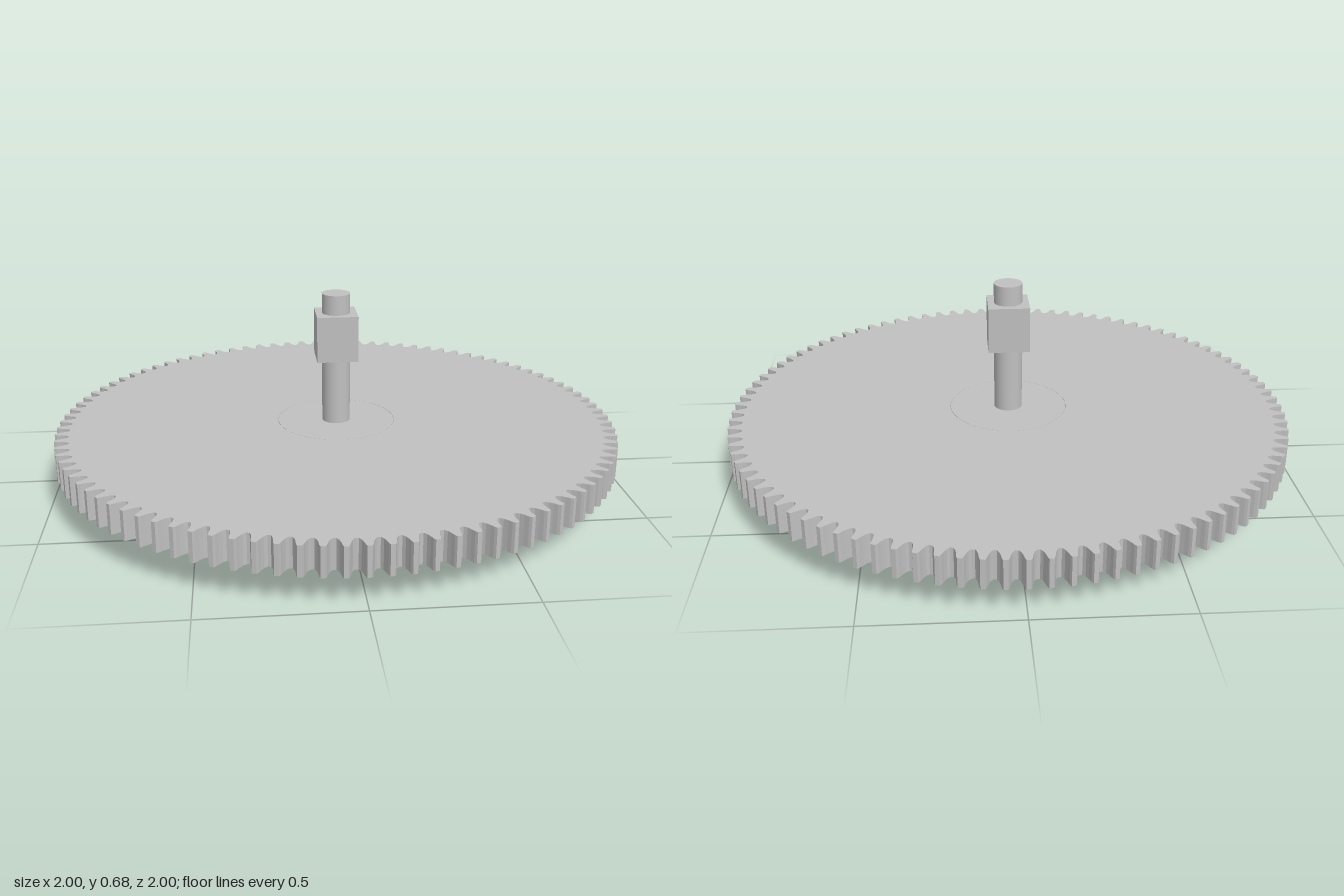
import * as THREE from 'three';

export function createModel() {
  const model = new THREE.Group();
  const grey = new THREE.MeshStandardMaterial({ color: 0xc0c0c0 });
  grey.name = 'plain grey';

  const add = (name, geometry, y = 0) => {
    const mesh = new THREE.Mesh(geometry, grey);
    mesh.name = name;
    mesh.position.y = y;
    model.add(mesh);
    return mesh;
  };

  // Gear wheel: one tooth profile (fraction of pitch, radius) repeated around the rim
  const teeth = 96;
  const pitch = (Math.PI * 2) / teeth;
  const tooth = [
    [-0.42, 0.95], [-0.3, 0.96], [-0.22, 0.975], [-0.17, 0.99], [-0.11, 0.999],
    [0.11, 0.999], [0.17, 0.99], [0.22, 0.975], [0.3, 0.96], [0.42, 0.95],
  ];
  const rim = [];
  for (let i = 0; i < teeth; i++) {
    for (const [f, r] of tooth) {
      const a = (i + f) * pitch;
      rim.push(new THREE.Vector2(Math.cos(a) * r, Math.sin(a) * r));
    }
  }
  const wheel = new THREE.Shape(rim);
  wheel.holes.push(new THREE.Path().absarc(0, 0, 0.21, 0, Math.PI * 2, true));
  const wheelGeometry = new THREE.ExtrudeGeometry(wheel, {
    depth: 0.1, bevelEnabled: false, curveSegments: 48,
  });
  wheelGeometry.rotateX(-Math.PI / 2);
  add('gearWheel', wheelGeometry, 0.105);

  // Hub plug filling the wheel's bore
  add('hub', new THREE.CylinderGeometry(0.209, 0.209, 0.1, 96), 0.155);

  // Axle through the hub, with a square block near its top
  add('axle', new THREE.CylinderGeometry(0.05, 0.05, 0.675, 48), 0.3375);
  add('squareBlock', new THREE.BoxGeometry(0.145, 0.163, 0.145), 0.5235);

  return model;
}
